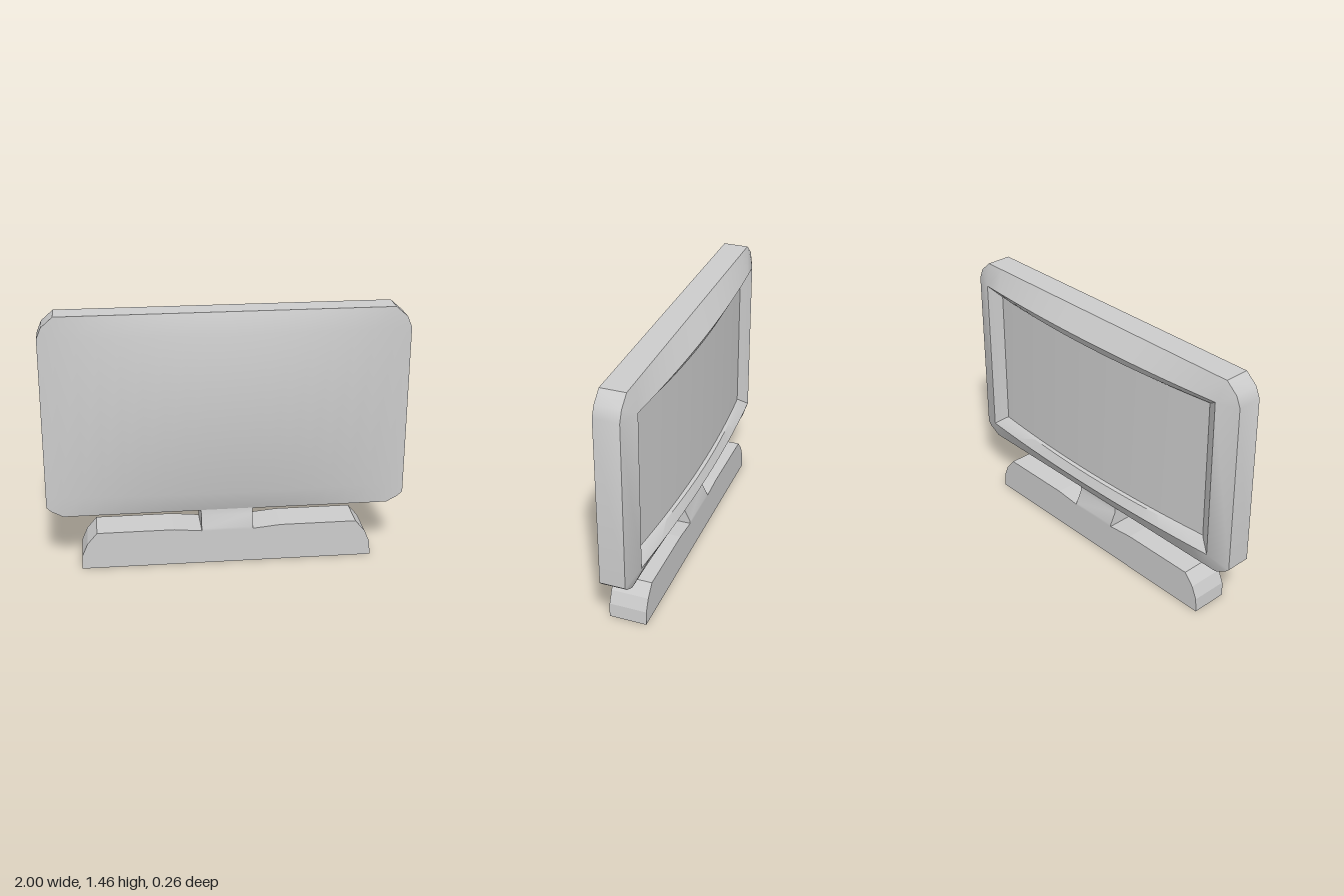
import * as THREE from 'three';
import { toCreasedNormals } from 'three/addons/utils/BufferGeometryUtils.js';

const material = new THREE.MeshStandardMaterial({ color: 0xcccccc });

// Skins a list of equal-length rows of [x, y, z] points.
function loft(rows, crease = 0.5) {
  const n = rows[0].length;
  const index = [];
  for (let i = 0; i < rows.length - 1; i++) {
    for (let j = 0; j < n - 1; j++) {
      const a = i * n + j, b = a + 1, c = b + n, d = a + n;
      index.push(a, b, c, a, c, d);
    }
  }
  const geometry = new THREE.BufferGeometry();
  geometry.setAttribute('position', new THREE.Float32BufferAttribute(rows.flat(2), 3));
  geometry.setIndex(index);
  return toCreasedNormals(geometry, crease);
}

function extrude(points, depth) {
  const shape = new THREE.Shape(points.map(([x, y]) => new THREE.Vector2(x, y)));
  return new THREE.ExtrudeGeometry(shape, { depth, bevelEnabled: false });
}

// Columns across the width, with cut corners at both ends
const EDGE = 0.91, STEPS = 16;
const columns = [-1, -0.975];
for (let i = 0; i <= STEPS; i++) columns.push(-EDGE + (2 * EDGE * i) / STEPS);
columns.push(0.975, 1);

const cornerY = (x, flat, mid, end) => {
  const ax = Math.abs(x);
  return ax > 0.99 ? end : ax > 0.95 ? mid : flat;
};
const lowY = (x) => cornerY(x, 0.31, 0.345, 0.37);
const highY = (x) => cornerY(x, 1.457, 1.4, 1.34);
const bow = (x) => 1 - x * x;

// Closed outline, anticlockwise from the front
const outline = [
  ...columns.map((x) => [x, lowY(x)]),
  ...[...columns].reverse().map((x) => [x, highY(x)]),
];
outline.push(outline[0]);

// Rectangular ring inside the outline, bowed backwards at the middle
function innerRing(halfWidth, bottom, top, z, bulge) {
  return outline.map(([px, py]) => {
    const x = THREE.MathUtils.clamp((px * halfWidth) / EDGE, -halfWidth, halfWidth);
    const y = py < 0.9 ? bottom : top;
    return [x, y, z - bulge * bow(x / halfWidth)];
  });
}

export function createModel() {
  const group = new THREE.Group();
  const add = (name, geometry) => {
    const mesh = new THREE.Mesh(geometry, material);
    mesh.name = name;
    group.add(mesh);
    return mesh;
  };

  // Gently domed casing panel
  const domeZ = (x) => 0.085 + 0.045 * bow(x);
  add('casingPanel', loft([
    columns.map((x) => [x, lowY(x), 0.085]),
    columns.map((x) => [x, 0.43, domeZ(x)]),
    columns.map((x) => [x, 1.34, domeZ(x)]),
    columns.map((x) => [x, highY(x), 0.085]),
  ]));

  // Recess walls, raised bezel and outer rim
  add('bezelAndRim', loft([
    innerRing(0.805, 0.485, 1.285, -0.05, 0.04),
    innerRing(0.815, 0.478, 1.292, -0.058, 0.052),
    innerRing(0.88, 0.425, 1.34, -0.097, 0.036),
    outline.map(([x, y]) => [x, y, -0.055]),
    outline.map(([x, y]) => [x, y, 0.085]),
  ], 0.6));

  // Bowed screen inside the recess
  const screenRow = (y) => columns.map((px) => {
    const x = THREE.MathUtils.clamp((px * 0.805) / EDGE, -0.805, 0.805);
    return [x, y, -0.05 - 0.04 * bow(x / 0.805)];
  });
  add('screen', loft([screenRow(1.285), screenRow(0.485)]));

  // Foot with rounded ends and a shallow dip under the neck
  const half = [[0.82, 0], [0.815, 0.08], [0.785, 0.15], [0.73, 0.215], [0.3, 0.215], [0.145, 0.2]];
  const mirrored = [...half].reverse().map(([x, y]) => [-x, y]);
  const foot = add('foot', extrude([...half, ...mirrored], 0.21));
  foot.position.z = -0.09;

  // Neck flaring down onto the foot, profile drawn as [z, y]
  const neck = extrude([
    [0.12, 0.195], [0.12, 0.212], [0.09, 0.28], [0.085, 0.32],
    [-0.055, 0.32], [-0.057, 0.28], [-0.09, 0.212], [-0.09, 0.195],
  ], 0.29);
  neck.rotateY(-Math.PI / 2).translate(0.145, 0, 0);
  add('neck', toCreasedNormals(neck, 0.6));

  return group;
}
